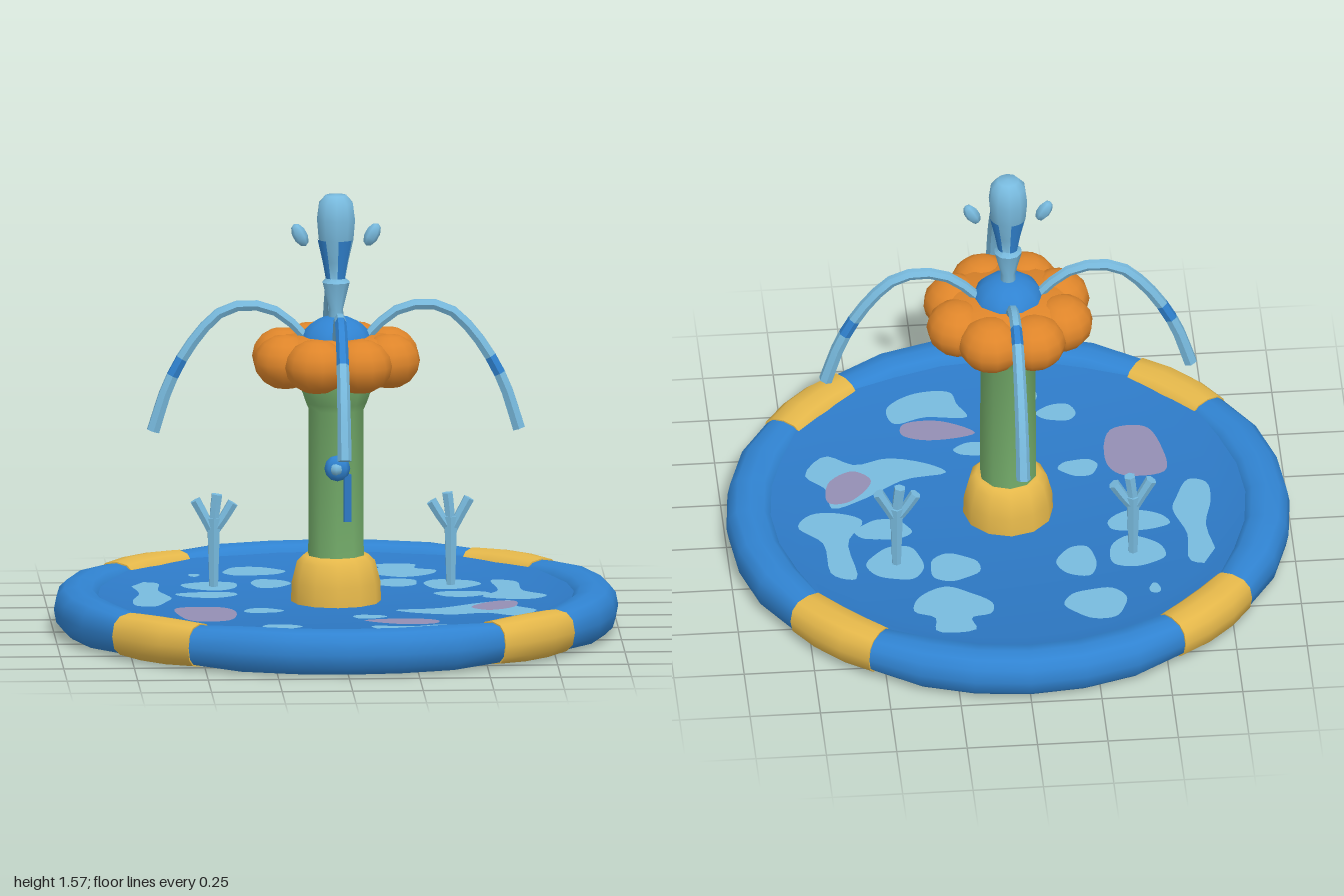
import * as THREE from 'three';
import { toCreasedNormals } from 'three/addons/utils/BufferGeometryUtils.js';

const mat = (name, color) => {
  const m = new THREE.MeshStandardMaterial({ color });
  m.name = name;
  return m;
};
const V = (x, y, z) => new THREE.Vector3(x, y, z);
const WATER = 0.122;

// Skin over cross-section loops; groups let each band take its own material
function loft(loops, bandMaterial = () => 0) {
  const n = loops[0].length, pos = [], index = [];
  loops.forEach(l => l.forEach(p => pos.push(p.x, p.y, p.z)));
  const geo = new THREE.BufferGeometry();
  for (let i = 0; i < loops.length - 1; i++) {
    geo.addGroup(index.length, n * 6, bandMaterial(i));
    for (let j = 0; j < n; j++) {
      const a = i * n + j, b = i * n + (j + 1) % n;
      index.push(a, b, a + n, b, b + n, a + n);
    }
  }
  geo.setAttribute('position', new THREE.Float32BufferAttribute(pos, 3));
  geo.setIndex(index);
  return toCreasedNormals(geo, 0.85);
}

// Tapered, capped tube along a path in the xy plane
function planarTube(points, r0, r1, steps, sides, bandMaterial) {
  const curve = new THREE.CatmullRomCurve3(points.map(p => V(p[0], p[1], 0)));
  const loops = [], u = V(0, 0, 1);
  for (let i = -1; i <= steps + 1; i++) {
    const t = Math.min(Math.max(i / steps, 0), 1);
    const c = curve.getPointAt(t), v = curve.getTangentAt(t).cross(u);
    const r = i < 0 || i > steps ? 0 : r0 + (r1 - r0) * t;
    loops.push(Array.from({ length: sides }, (_, j) => {
      const a = j / sides * Math.PI * 2;
      return c.clone().addScaledVector(u, r * Math.cos(a)).addScaledVector(v, r * Math.sin(a));
    }));
  }
  return loft(loops, bandMaterial);
}

// Inflated section of the pool rim with pinched ends
function rimSection(mid, half, steps, pinch) {
  const loops = [], soft = v => Math.sign(v) * Math.abs(v) ** 0.8;
  for (let i = -1; i <= steps + 1; i++) {
    const k = Math.min(Math.max(i, 0), steps);
    const a = mid - half + 2 * half * k / steps;
    const s = i !== k ? 0 : (k === 0 || k === steps ? pinch : 1);
    loops.push(Array.from({ length: 12 }, (_, j) => {
      const b = j / 12 * Math.PI * 2;
      const r = 0.915 + 0.085 * s * soft(Math.cos(b));
      return V(r * Math.cos(a), 0.097 + 0.082 * s * soft(Math.sin(b)), r * Math.sin(a));
    }));
  }
  return loft(loops);
}

// Flat patch with a smooth outline through [x, z] points
function patchGeometry(points) {
  const curve = new THREE.CatmullRomCurve3(points.map(p => V(p[0], -p[1], 0)), true);
  const shape = new THREE.Shape(curve.getPoints(36).slice(0, -1).map(p => new THREE.Vector2(p.x, p.y)));
  return new THREE.ShapeGeometry(shape).rotateX(-Math.PI / 2);
}
const blob = ([x, z, rx, rz]) => Array.from({ length: 9 }, (_, i) => {
  const a = i / 9 * Math.PI * 2, k = 1 + 0.1 * Math.sin(a * 3 + x * 20);
  return [x + rx * k * Math.cos(a), z + rz * k * Math.sin(a)];
});
const lathe = (pts, sides, crease = 0.8) =>
  toCreasedNormals(new THREE.LatheGeometry(pts.map(p => new THREE.Vector2(...p)), sides), crease);

export function createModel() {
  const model = new THREE.Group();
  model.name = 'splashPool';
  const blue = mat('poolBlue', 0x3083d1), light = mat('sprayBlue', 0x78bade);
  const yellow = mat('yellow', 0xe4b74a), orange = mat('petalOrange', 0xde852a);
  const green = mat('stemGreen', 0x75ae6b), mauve = mat('mauve', 0x938eb3);
  const deep = mat('deepBlue', 0x2d79c5);
  const add = (name, geo, material, x = 0, y = 0, z = 0, parent = model) => {
    const m = new THREE.Mesh(geo, material);
    m.name = name;
    m.position.set(x, y, z);
    parent.add(m);
    return m;
  };

  // Rim: long blue sections with yellow joints between
  const deg = Math.PI / 180;
  for (let i = 0; i < 4; i++) {
    add('rimSection', rimSection(i * 90 * deg, 34.5 * deg, 6, 0.88), [blue]);
    add('rimJoint', rimSection((45 + i * 90) * deg, 10.5 * deg, 3, 0.94), [yellow]);
  }

  // Water dish and pool underside
  add('water', lathe([[0.88, 0.155], [0.83, 0.145], [0.76, WATER], [0, WATER - 0.002]], 32, 1.2), deep);
  add('underside', new THREE.CircleGeometry(0.9, 32).rotateX(Math.PI / 2), light, 0, 0.045);

  // Pale patches on the water
  const paleBlobs = [
    [-0.27, -0.58, 0.11, 0.09], [-0.43, -0.29, 0.1, 0.09], [0.42, -0.29, 0.1, 0.1],
    [0.22, -0.33, 0.09, 0.08], [-0.22, -0.33, 0.07, 0.09], [-0.45, -0.11, 0.11, 0.06],
    [0.45, -0.09, 0.1, 0.06], [-0.22, 0.55, 0.07, 0.05], [-0.12, 0.67, 0.035, 0.07],
    [-0.27, 0.22, 0.07, 0.05], [0.1, 0.36, 0.06, 0.04], [-0.48, -0.51, 0.02, 0.03],
  ];
  const paleShapes = [
    [[0.17, -0.7], [0.31, -0.7], [0.31, -0.62], [0.38, -0.58], [0.36, -0.5], [0.26, -0.44], [0.18, -0.48], [0.1, -0.55], [0.11, -0.61], [0.18, -0.63]],
    [[-0.71, -0.37], [-0.62, -0.36], [-0.62, -0.2], [-0.58, -0.05], [-0.6, 0.02], [-0.65, 0.12], [-0.71, 0.1], [-0.72, 0], [-0.69, -0.15]],
    [[0.57, -0.37], [0.65, -0.34], [0.67, -0.15], [0.75, -0.05], [0.7, 0.02], [0.6, 0.02], [0.52, -0.03], [0.58, -0.15]],
    [[0.2, 0.23], [0.35, 0.2], [0.5, 0.1], [0.62, 0.05], [0.63, 0.16], [0.7, 0.25], [0.62, 0.36], [0.52, 0.3], [0.4, 0.33], [0.25, 0.28]],
    [[0.1, 0.55], [0.25, 0.56], [0.36, 0.53], [0.38, 0.62], [0.28, 0.7], [0.15, 0.7], [0.13, 0.63]],
  ];
  const mauveShapes = [
    [[-0.57, 0.17], [-0.42, 0.16], [-0.37, 0.23], [-0.4, 0.43], [-0.52, 0.44], [-0.57, 0.32]],
    [[0.08, 0.45], [0.25, 0.42], [0.34, 0.46], [0.33, 0.52], [0.2, 0.53]],
    [[0.47, 0.2], [0.56, 0.08], [0.63, 0.08], [0.62, 0.2], [0.53, 0.26]],
  ];
  [...paleBlobs.map(blob), ...paleShapes].forEach(p => add('palePatch', patchGeometry(p), light, 0, WATER + 0.003));
  mauveShapes.forEach(p => add('mauvePatch', patchGeometry(p), mauve, 0, WATER + 0.006));

  // Dark patches beneath the pool
  [[0.1, -0.6, 0.25, 0.22], [0.06, 0.55, 0.16, 0.14], [-0.32, 0.6, 0.13, 0.11],
    [-0.56, -0.55, 0.08, 0.08]].forEach(([x, z, rx, rz]) => {
    add('undersidePatch', patchGeometry(blob([x, -z, rx, rz])), blue, 0, 0.042).rotation.x = Math.PI;
  });

  // Pedestal and flower stem
  add('pedestal', lathe([[0.16, 0.115], [0.157, 0.19], [0.138, 0.265], [0.115, 0.287], [0, 0.287]], 12), yellow);
  add('stem', lathe([[0.102, 0.27], [0.1, 0.81], [0.112, 0.835], [0.132, 0.89], [0.14, 0.95]], 10), green);

  // Flower: ring of puffy, merging petals around a blue dome
  add('flowerHeart', lathe([[0, 0.912], [0.17, 0.912], [0.25, 0.96], [0.25, 1.03], [0.18, 1.075], [0, 1.075]], 16), orange);
  for (let i = 0; i < 8; i++) {
    const a = (i + 0.5) * Math.PI / 4;
    const petal = add('petal', new THREE.SphereGeometry(1, 12, 8), orange, 0.2 * Math.cos(a), 0.993, 0.2 * Math.sin(a));
    petal.scale.set(0.11, 0.097, 0.115);
    petal.rotation.y = -a;
  }
  add('flowerDome', new THREE.SphereGeometry(0.135, 10, 8, 0, Math.PI * 2, 0, Math.PI / 2), blue, 0, 1.03).scale.y = 0.85;

  // Upright jet with a swollen tip, deep streaks and two flying drops
  add('topJet', lathe([[0.03, 1.1], [0.026, 1.17], [0.05, 1.265], [0.034, 1.28], [0.045, 1.34], [0.064, 1.42],
    [0.07, 1.49], [0.062, 1.55], [0.038, 1.577], [0, 1.58]], 10, 1), light);
  for (let i = 0; i < 4; i++) {
    const streak = new THREE.LatheGeometry([[0.037, 1.28], [0.048, 1.34], [0.066, 1.42]]
      .map(p => new THREE.Vector2(...p)), 4, i * Math.PI / 2 + 0.1, 0.85);
    add('jetStreak', streak, blue);
  }
  for (const s of [-1, 1]) {
    const drop = add('flyingDrop', new THREE.SphereGeometry(1, 6, 5), light, s * 0.128, 1.435, 0);
    drop.scale.set(0.026, 0.045, 0.022);
    drop.rotation.z = s * -0.5;
  }

  // Four arching jets, each with a darker stretch
  const arc = [[0.11, 1.07], [0.2, 1.155], [0.3, 1.185], [0.4, 1.165], [0.5, 1.065], [0.59, 0.91], [0.648, 0.735]];
  const darkBands = [[9], [5], [9], [5, 6, 7]];
  for (let i = 0; i < 4; i++) {
    const geo = planarTube(arc, 0.018, 0.025, 12, 6, b => (darkBands[i].includes(b) ? 1 : 0));
    add('archingJet', geo, [light, blue]).rotation.y = [0, Math.PI / 2, Math.PI, -Math.PI / 2][i];
  }

  // Spout on the stem with a trickle below
  const spout = add('spout', new THREE.SphereGeometry(1, 8, 6), blue, 0, 0.613, 0.1);
  spout.scale.set(0.046, 0.047, 0.03);
  add('spoutTip', new THREE.SphereGeometry(0.025, 8, 6), light, -0.004, 0.612, 0.112);
  add('trickle', new THREE.BoxGeometry(0.026, 0.17, 0.009), deep, 0.036, 0.505, 0.097).rotation.y = 0.3;

  // Forked splashes rising from the water
  const forks = [
    [[0, 0.11], [0, 0.25], [0, 0.37]],
    [[0, 0.31], [-0.03, 0.37], [-0.065, 0.435]],
    [[0, 0.33], [0.005, 0.4], [0.012, 0.455]],
    [[0, 0.32], [0.035, 0.37], [0.068, 0.425]],
  ];
  for (const s of [-1, 1]) {
    const splash = new THREE.Group();
    splash.name = 'splash';
    splash.position.set(s * 0.42, 0, -0.285);
    splash.rotation.y = s > 0 ? Math.PI : 0;
    forks.forEach((f, i) => add(i ? 'splashFork' : 'splashTrunk',
      planarTube(f, i ? 0.018 : 0.017, i ? 0.021 : 0.026, 4, 6), [light], 0, 0, 0, splash));
    model.add(splash);
  }
  return model;
}
